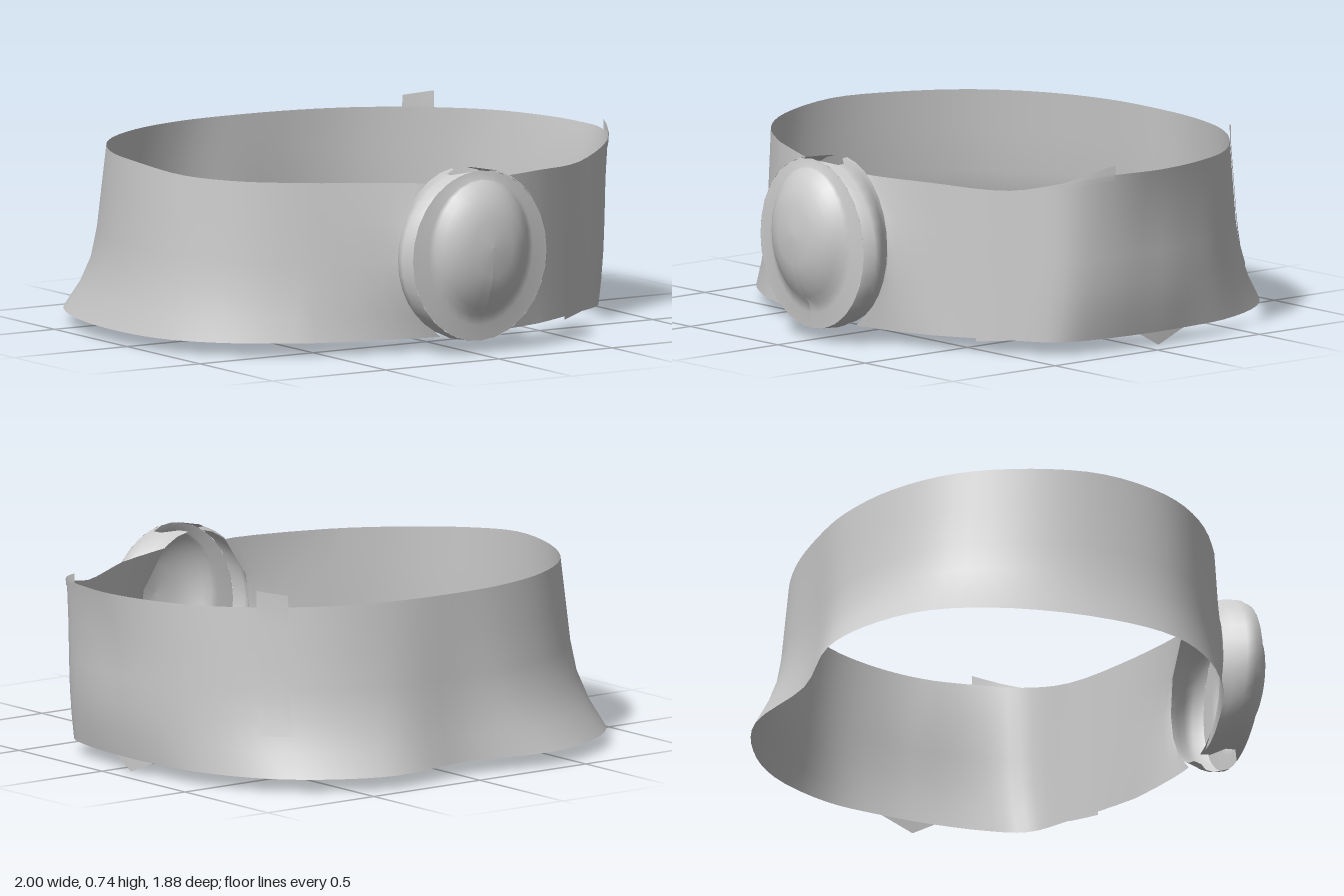
import * as THREE from 'three';

const metal = new THREE.MeshStandardMaterial({ color: 0xcccccc, side: THREE.DoubleSide });
metal.name = 'plain grey';

// Rim stations around the band, from the buckle's left side round the back:
// [top x, top height, top z, bottom x, bottom z]
const STATIONS = [
  [0.23, 0.63, 0.69, 0.23, 0.695], [0.42, 0.625, 0.615, 0.42, 0.62], [0.7, 0.615, 0.465, 0.69, 0.47],
  [0.9, 0.66, 0.34, 0.85, 0.36], [0.98, 0.68, 0.18, 0.9, 0.2], [1, 0.68, 0, 0.92, -0.03],
  [0.97, 0.68, -0.2, 0.915, -0.2], [0.88, 0.68, -0.42, 0.885, -0.43], [0.72, 0.68, -0.595, 0.755, -0.695],
  [0.5, 0.68, -0.74, 0.57, -0.855], [0.26, 0.68, -0.81, 0.34, -0.94], [0, 0.68, -0.83, -0.02, -0.89],
  [-0.24, 0.68, -0.815, -0.38, -0.94], [-0.5, 0.68, -0.73, -0.6, -0.88], [-0.72, 0.68, -0.565, -0.82, -0.715],
  [-0.865, 0.68, -0.32, -0.955, -0.43], [-0.92, 0.68, -0.05, -1, -0.05], [-0.88, 0.66, 0.21, -0.95, 0.22],
  [-0.74, 0.65, 0.4, -0.8, 0.42], [-0.5, 0.645, 0.56, -0.55, 0.58], [-0.22, 0.63, 0.685, -0.24, 0.705],
];
const LAST = STATIONS.length - 1;
const topRim = new THREE.CatmullRomCurve3(STATIONS.map(s => new THREE.Vector3(s[0], s[1], s[2])));
const bottomRim = new THREE.CatmullRomCurve3(STATIONS.map(s => new THREE.Vector3(s[3], 0.05, s[4])));
const BUCKLE_X = 0.015, BUCKLE_Y = 0.367;

// Height fraction, then the lean toward the bottom outline: in general, and on the left side
const LEVELS = [[0, 1, 1], [0.15, 0.64, 0.75], [0.32, 0.36, 0.56], [0.5, 0.22, 0.5], [0.75, 0.11, 0.42], [1, 0, 0]];

function leanAt(s, h) {
  if (h <= 0) return 1;
  if (h >= 1) return 0;
  const side = Math.max(0, 1 - Math.abs(s - 5) / 3);
  const i = LEVELS.findIndex(l => l[0] >= h);
  const lean = l => THREE.MathUtils.lerp(l[1], l[2], side);
  return THREE.MathUtils.mapLinear(h, LEVELS[i - 1][0], LEVELS[i][0], lean(LEVELS[i - 1]), lean(LEVELS[i]));
}

// Point on the band at station s and height fraction h, pushed outward by lift.
// Both end stations bend to meet the oval back of the buckle.
function bandPoint(s, h, lift = 0) {
  const t = topRim.getPoint(s / LAST), b = bottomRim.getPoint(s / LAST);
  const p = t.clone().lerp(b, leanAt(s, h));
  p.y = b.y + (t.y - b.y) * h;
  const end = Math.max(0, 1 - s, s - LAST + 1);
  if (end > 0) {
    const half = 0.26 * Math.sqrt(Math.max(0.1, 1 - ((p.y - BUCKLE_Y) / 0.315) ** 2));
    p.lerp(new THREE.Vector3(BUCKLE_X + (s < 1 ? half : -half), p.y, 0.7), end);
  }
  const r = Math.hypot(p.x, p.z);
  p.x *= 1 + lift / r;
  p.z *= 1 + lift / r;
  return p;
}

// Surface grid from a function of (column, row)
function grid(columns, rows, pointAt) {
  const pos = [], index = [];
  for (let i = 0; i <= columns; i++)
    for (let j = 0; j <= rows; j++) pos.push(...pointAt(i, j).toArray());
  for (let i = 0; i < columns; i++)
    for (let j = 0; j < rows; j++) {
      const a = i * (rows + 1) + j, b = a + rows + 1;
      index.push(a, a + 1, b, b, a + 1, b + 1);
    }
  const g = new THREE.BufferGeometry();
  g.setAttribute('position', new THREE.Float32BufferAttribute(pos, 3));
  g.setIndex(index);
  g.computeVertexNormals();
  return g;
}

// Buckle face as oval rings: [half width, half height, centre height, z]
const FACE = [
  [0, 0, 0.04, 0.94], [0.09, 0.11, 0.04, 0.935], [0.145, 0.175, 0.04, 0.915], [0.185, 0.23, 0.035, 0.885],
  [0.205, 0.255, 0.03, 0.86], [0.23, 0.275, 0.015, 0.852], [0.295, 0.32, 0, 0.845],
];
const faceGeometry = () => grid(28, FACE.length - 1, (i, j) => {
  const [w, h, y, z] = FACE[j], a = -i / 28 * Math.PI * 2;
  return new THREE.Vector3(w * Math.sin(a), y - h * Math.cos(a), z);
});

// Half of the side wall: [half width, half height, z, half-angle of the gap at top and bottom]
const WALL = [
  [0.295, 0.32, 0.845, 0.12], [0.321, 0.325, 0.81, 0.34], [0.317, 0.322, 0.775, 0.32],
  [0.28, 0.318, 0.735, 0.16], [0.26, 0.315, 0.7, 0.12],
];
const wallGeometry = side => grid(14, WALL.length - 1, (i, j) => {
  const [w, h, z, gap] = WALL[j];
  const a = gap + (Math.PI - 2 * gap) * i / 14;
  return new THREE.Vector3(side * w * Math.sin(a), -h * Math.cos(a), z);
});

export function createModel() {
  const model = new THREE.Group();
  model.name = 'belt';
  const add = (parent, name, geometry) => {
    const mesh = new THREE.Mesh(geometry, metal);
    mesh.name = name;
    parent.add(mesh);
  };

  // Thin band, open behind the buckle
  add(model, 'band', grid(LAST * 4, LEVELS.length - 1, (i, j) => bandPoint(i / 4, LEVELS[j][0])));

  // Overlapping strips with ragged ends: [name, station from, to, low from, low to, high from, high to]
  const strips = [
    ['backStrip', 7.95, 8.4, 0.24, 0.24, 1.1, 1.07],
    ['frontStrip', 1.6, 2.05, -0.02, 0, 0.6, 0.7],
    ['topTab', 2.7, 3.95, 0.97, 0.97, 0.99, 1.06],
  ];
  for (const [name, s0, s1, low0, low1, high0, high1] of strips) {
    add(model, name, grid(4, 8, (i, j) => {
      const k = i / 4, low = low0 + (low1 - low0) * k, high = high0 + (high1 - high0) * k;
      return bandPoint(s0 + (s1 - s0) * k, low + (high - low) * j / 8, 0.004);
    }));
  }

  // Small point hanging below the side rim
  add(model, 'bottomTab', grid(2, 1, (i, j) => {
    const p = bandPoint([4.8, 5.25, 6][i], 0);
    if (j === 0 && i === 1) p.y = 0;
    return p;
  }));

  // Hollow round buckle: domed face, and side walls with gaps at top and bottom
  const buckle = new THREE.Group();
  buckle.name = 'buckle';
  buckle.position.set(BUCKLE_X, BUCKLE_Y, 0);
  add(buckle, 'buckleFace', faceGeometry());
  add(buckle, 'leftWall', wallGeometry(1));
  add(buckle, 'rightWall', wallGeometry(-1));
  model.add(buckle);

  return model;
}
